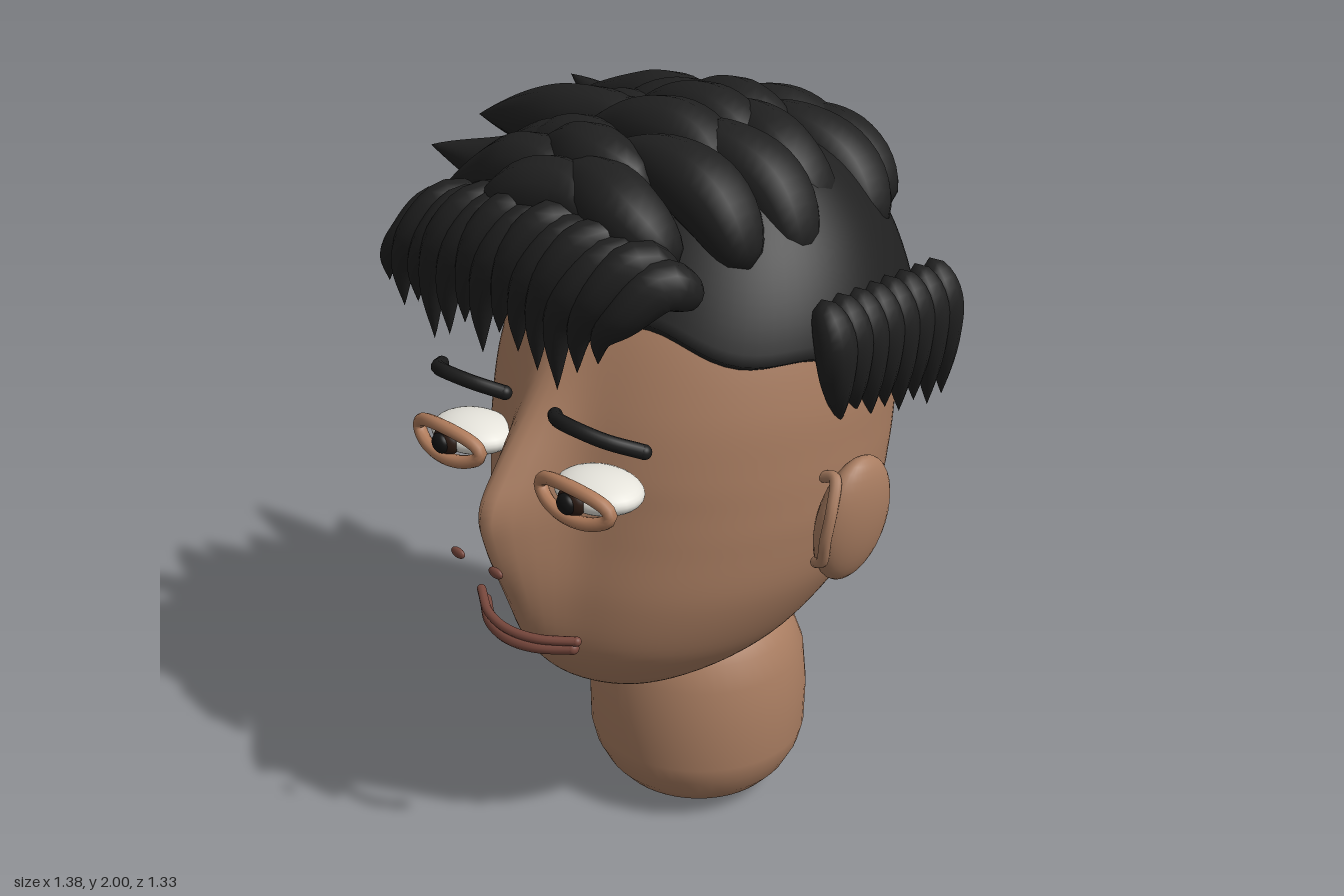
import * as THREE from 'three';
import { mergeVertices } from 'three/addons/utils/BufferGeometryUtils.js';

const CX = 0.08; // mid-plane of the face
const V = (x, y, z) => new THREE.Vector3(x, y, z);
const mat = (name, color, side = THREE.FrontSide) => {
  const m = new THREE.MeshStandardMaterial({ color, side });
  m.name = name;
  return m;
};

// Head sections from chin to crown: height, half width, front z, back z, nose ridge
const sections = [
  [0.465, 0, 0.15, 0.15, 0], [0.482, 0.1, 0.25, 0.05, 0], [0.53, 0.205, 0.34, -0.13, 0.01],
  [0.6, 0.305, 0.41, -0.33, 0.02], [0.7, 0.39, 0.465, -0.44, 0.035], [0.85, 0.47, 0.475, -0.54, 0.09],
  [1.0, 0.504, 0.46, -0.587, 0.165], [1.1, 0.513, 0.45, -0.602, 0.19], [1.2, 0.515, 0.44, -0.61, 0.14],
  [1.35, 0.51, 0.405, -0.61, 0.055], [1.53, 0.472, 0.33, -0.585, 0], [1.7, 0.38, 0.21, -0.51, 0],
  [1.82, 0.25, 0.07, -0.36, 0], [1.88, 0, -0.14, -0.14, 0],
];
const curveA = new THREE.CatmullRomCurve3(sections.map((s) => V(s[1], s[0], s[2])), false, 'catmullrom', 0.5);
const curveB = new THREE.CatmullRomCurve3(sections.map((s) => V(s[3], s[4], 0)), false, 'catmullrom', 0.5);

function headPoint(t, a) {
  const { x: w, y, z: f } = curveA.getPoint(t);
  const { x: b, y: ridge } = curveB.getPoint(t);
  const x = w * Math.sin(a);
  let z = (f + b) / 2 + ((f - b) / 2) * Math.cos(a);
  if (Math.cos(a) > 0) z += ridge * Math.exp(-((x / 0.085) ** 2));
  return V(CX + x, y, z);
}

function paramAtHeight(y) {
  let lo = 0, hi = 1;
  for (let i = 0; i < 24; i++) {
    const m = (lo + hi) / 2;
    if (curveA.getPoint(m).y < y) lo = m; else hi = m;
  }
  return lo;
}

function smooth(geo) {
  geo.deleteAttribute('normal');
  geo.deleteAttribute('uv');
  const g = mergeVertices(geo, 1e-4);
  g.computeVertexNormals();
  return g;
}

// Closed surface from rings, bottom to top; at(row, angle) gives a point
function skin(rows, cols, at) {
  const pos = [], idx = [];
  for (let i = 0; i <= rows; i++)
    for (let j = 0; j < cols; j++) pos.push(...at(i, (j / cols) * Math.PI * 2).toArray());
  for (let i = 0; i < rows; i++)
    for (let j = 0; j < cols; j++) {
      const k = (j + 1) % cols, a = i * cols + j, b = i * cols + k;
      idx.push(a, b, b + cols, a, b + cols, a + cols);
    }
  const g = new THREE.BufferGeometry();
  g.setAttribute('position', new THREE.Float32BufferAttribute(pos, 3));
  g.setIndex(idx);
  return smooth(g);
}

// Hair clump: tube with a round root and a pointed tip, widest at the given fraction
function clump(points, r, peak = 0.3) {
  const n = 20, radial = 12, curve = new THREE.CatmullRomCurve3(points);
  const g = new THREE.TubeGeometry(curve, n, r, radial, false);
  const p = g.attributes.position, v = V(0, 0, 0);
  for (let i = 0; i <= n; i++) {
    const t = i / n, c = curve.getPointAt(t);
    const s = t < peak ? Math.sqrt(1 - ((peak - t) / peak) ** 2) : 1 - ((t - peak) / (1 - peak)) ** 1.6;
    for (let j = 0; j <= radial; j++) {
      const k = i * (radial + 1) + j;
      v.fromBufferAttribute(p, k).sub(c).multiplyScalar(s).add(c);
      p.setXYZ(k, v.x, v.y, v.z);
    }
  }
  return smooth(g);
}

export function createModel() {
  const model = new THREE.Group();
  const skinMat = mat('skin', 0xa97d61), lidMat = mat('eyelid skin', 0xb07c5c);
  const hairMat = mat('hair', 0x202020, THREE.DoubleSide), browMat = mat('brow', 0x1b1b1b);
  const whiteMat = mat('eye white', 0xe6e4dc), irisMat = mat('iris', 0x2b1a12);
  const pupilMat = mat('pupil', 0x111111), lipMat = mat('lip', 0x78483d);

  const add = (name, geo, m) => {
    const mesh = new THREE.Mesh(geo, m);
    mesh.name = name;
    model.add(mesh);
    return mesh;
  };
  const ball = (name, m, pos, size) => {
    const mesh = add(name, new THREE.SphereGeometry(1, 28, 18), m);
    mesh.position.set(...pos);
    mesh.scale.set(...size);
    return mesh;
  };
  // Thin rod with round ends
  const rod = (name, pts, r, m, closed = false) => {
    add(name, new THREE.TubeGeometry(new THREE.CatmullRomCurve3(pts, closed), 40, r, 10, closed), m);
    if (!closed) for (const e of [pts[0], pts[pts.length - 1]]) ball(name + 'End', m, e.toArray(), [r, r, r]);
  };

  // Head and neck
  add('head', skin(72, 128, (i, a) => headPoint(i / 72, a)), skinMat);
  const neckProfile = [[0, 0.003], [0.13, 0.032], [0.23, 0.058], [0.262, 0.095], [0.29, 0.15], [0.302, 0.2],
    [0.304, 0.32], [0.292, 0.44], [0.265, 0.51], [0.235, 0.555], [0.19, 0.575], [0, 0.6]];
  const neck = add('neck', new THREE.LatheGeometry(neckProfile.map((p) => new THREE.Vector2(...p)), 48), skinMat);
  neck.position.set(CX, 0, -0.117);

  // Paired parts
  for (const s of [-1, 1]) {
    const side = s < 0 ? 'right' : 'left';
    const P = (d, y, z) => V(CX + s * d, y, z);
    const ear = ball(side + 'Ear', skinMat, [CX + s * 0.542, 1.032, -0.085], [0.06, 0.175, 0.123]);
    ear.rotation.z = -s * 0.14;
    rod(side + 'EarRim', [P(0.51, 1.16, -0.01), P(0.548, 1.17, -0.005), P(0.572, 1.11, 0.03),
      P(0.567, 1.03, 0.042), P(0.545, 0.955, 0.025), P(0.515, 0.935, 0.01)], 0.015, skinMat);

    const ex = CX + 0.003 + s * 0.228;
    ball(side + 'Eyeball', whiteMat, [ex, 1.195, 0.468], [0.118, 0.045, 0.095]);
    ball(side + 'Iris', irisMat, [ex, 1.195, 0.555], [0.041, 0.036, 0.025]);
    ball(side + 'Pupil', pupilMat, [ex, 1.195, 0.573], [0.027, 0.026, 0.018]);
    const lid = [];
    for (let i = 0; i < 16; i++) {
      const a = (i / 16) * Math.PI * 2;
      lid.push(V(ex + 0.118 * Math.cos(a), 1.196 + 0.042 * Math.sin(a), 0.565 - 0.02 * Math.cos(a) ** 2));
    }
    rod(side + 'Eyelids', lid, 0.017, lidMat, true);
    rod(side + 'Brow', [P(0.09, 1.342, 0.475), P(0.15, 1.363, 0.52), P(0.225, 1.372, 0.538),
      P(0.3, 1.355, 0.51), P(0.362, 1.33, 0.45)], 0.018, browMat);
    ball(side + 'Nostril', lipMat, [CX + s * 0.07, 0.982, 0.657], [0.024, 0.014, 0.009]);

    // Side locks over the temples
    for (let i = 0; i < 8; i++) {
      const z = 0.0 - i * 0.058, tip = 1.29 - i * 0.009 + (i % 2) * 0.02;
      add(side + 'SideLock', clump([P(0.485, 1.61, z), P(0.528, 1.53, z), P(0.53, 1.42, z - 0.015),
        P(0.497, tip - 0.02, z - 0.075)], 0.052), hairMat);
    }
  }

  // Mouth
  for (const [name, w, yc, ym, r] of [['upperLip', 0.18, 0.773, 0.762, 0.012], ['lowerLip', 0.165, 0.747, 0.737, 0.016]])
    rod(name, [-1, -0.5, 0, 0.5, 1].map((u) =>
      V(CX + u * w, ym + (yc - ym) * u * u, 0.572 - 0.07 * u * u)), r, lipMat);

  // Hair cap: shell over the skull with a wavy lower edge and a lip turned inward
  add('hairCap', skin(28, 96, (i, a) => {
    const edge = 1.405 + 0.12 * Math.cos(a) - 0.02 * Math.cos(7 * a);
    const t0 = paramAtHeight(edge), p = headPoint(t0 + (1 - t0) * Math.max(0, (i - 2) / 26), a);
    const out = p.clone().sub(V(CX, 1.2, -0.1)).normalize();
    return p.addScaledVector(out, [-0.01, 0.03][i] ?? 0.05);
  }), hairMat);

  // Swept top clumps laid like scales, each layer shifted by half a lane
  const dome = (x, z) =>
    1.2 + 0.7 * Math.sqrt(Math.max(0.05, 1 - ((x - CX) / 0.56) ** 2 - ((z + 0.1) / 0.8) ** 2));
  const over = (x, z, lift = 0) => V(x, dome(x, z) + lift, z);
  for (let layer = 0; layer < 3; layer++)
    for (let i = 0; i < 6; i++) {
      const z = -0.49 + i * 0.15 + (layer % 2) * 0.06, sway = 0.03 * Math.sin(i * 2.3 + layer * 1.7);
      const root = CX + 0.02 + 0.36 * Math.sqrt(1 - ((z + 0.1) / 0.58) ** 2) - layer * 0.19 + sway;
      add('topClump', clump([over(root, z, -0.025), over(root - 0.12, z - sway, 0),
        over(root - 0.27, z + 0.01, 0.01 + layer * 0.015),
        over(root - 0.46, z + 0.04 + sway, 0.03 + layer * 0.04)], 0.093, 0.4), hairMat);
    }
  const tips = [[-0.43, 1.8, -0.55], [-0.69, 1.845, -0.375], [-0.5, 1.86, -0.23], [-0.59, 1.83, -0.08],
    [-0.645, 1.81, 0.0], [-0.59, 1.78, 0.21], [-0.43, 1.73, 0.29]];
  tips.forEach((tip, i) => {
    const z = -0.48 + i * 0.122, x = i % 2 ? -0.06 : 0;
    add('sweptSpike', clump([over(x, z, 0), over(x - 0.13, z - 0.01, 0.045),
      over(x - 0.28, z, 0.14), V(...tip)], 0.092, 0.42), hairMat);
  });

  // Fringe falling over the forehead, lower toward its ends
  const drop = [0.1, 0.05, 0.08, 0, 0.03, 0.08, 0.02, 0.09, 0.06, 0.03, 0.0, 0.06, 0.1];
  drop.forEach((d, i) => {
    const u = (i - 6) / 6, x = CX - 0.06 + u * 0.39, back = 0.02 * u * u;
    const top = 1.75 - 0.06 * u * u + (i % 2) * 0.015;
    add('fringeLock', clump([V(x + 0.02, top - 0.05, 0.28 - back), V(x - 0.01, top, 0.37 - back),
      V(x - 0.065, top - 0.07, 0.44 - back), V(x - 0.12, 1.56, 0.455 - back),
      V(x - 0.15, 1.38 + d, 0.44 - back)], 0.06), hairMat);
  });
  return model;
}
